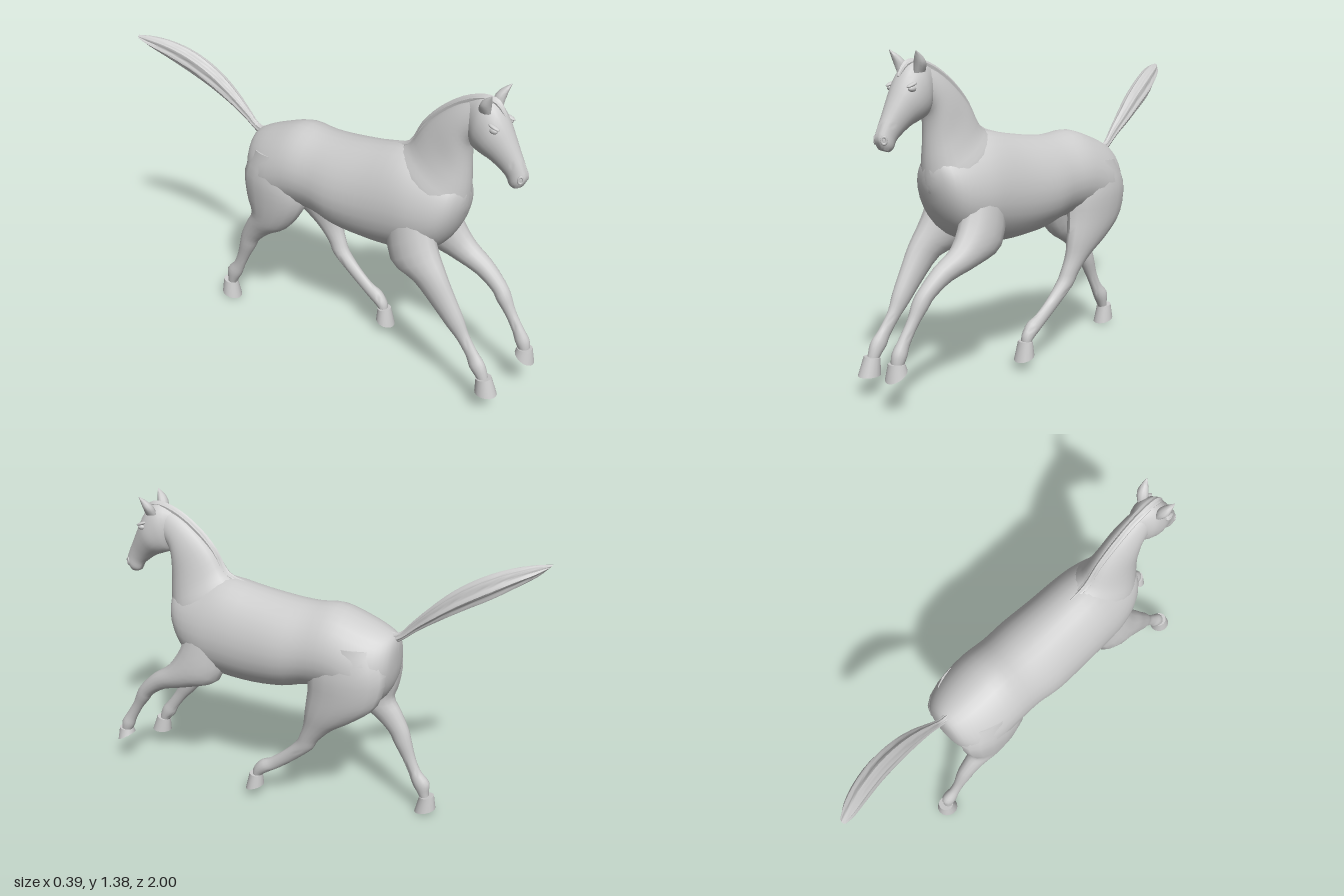
import * as THREE from 'three';
import { toCreasedNormals } from 'three/addons/utils/BufferGeometryUtils.js';

const material = new THREE.MeshStandardMaterial({ color: 0xcccccc });

// Catmull-Rom blend of section rows
function refine(rows, steps) {
  const at = i => rows[Math.max(0, Math.min(rows.length - 1, i))];
  const out = [];
  for (let i = 0; i < rows.length - 1; i++) {
    for (let s = 0; s < steps; s++) {
      const t = s / steps, a = at(i - 1), b = at(i), c = at(i + 1), d = at(i + 2);
      out.push(b.map((_, k) => b[k] + 0.5 * t * (c[k] - a[k]
        + t * (2 * a[k] - 5 * b[k] + 4 * c[k] - d[k] + t * (3 * (b[k] - c[k]) + d[k] - a[k])))));
    }
  }
  out.push(at(rows.length - 1));
  return out;
}

// Closed loft; each row is [x, z1, y1, z2, y2, halfWidth]: two outline edges seen
// from the side and a half width across. egg widens the second edge, groove cuts ridges.
function loft(name, rows, { sides = 20, steps = 3, egg = 0, groove = 0, ridges = 7, crease = 0.8 } = {}) {
  const rings = refine(rows, steps), pos = [], idx = [];
  for (const [x, z1, y1, z2, y2, w] of rings) {
    for (let j = 0; j < sides; j++) {
      const t = j / sides * Math.PI * 2;
      const g = 1 - groove * (0.5 - 0.5 * Math.cos(t * ridges));
      const c = Math.cos(t) * 0.5 * g, s = Math.sin(t) * g * (1 - egg * Math.cos(t));
      pos.push(x + s * w, (y1 + y2) / 2 + c * (y1 - y2), (z1 + z2) / 2 + c * (z1 - z2));
    }
  }
  const last = rings.length - 1, n = rings.length * sides;
  for (const r of [rings[0], rings[last]]) pos.push(r[0], (r[2] + r[4]) / 2, (r[1] + r[3]) / 2);
  for (let j = 0; j < sides; j++) {
    const k = (j + 1) % sides;
    for (let i = 0; i < last; i++) {
      const a = i * sides + j, b = i * sides + k;
      idx.push(a, b, a + sides, b, b + sides, a + sides);
    }
    idx.push(n, k, j, n + 1, last * sides + j, last * sides + k);
  }
  // Signed volume tells whether the faces point outward
  const v = i => new THREE.Vector3().fromArray(pos, i * 3);
  let volume = 0;
  for (let i = 0; i < idx.length; i += 3) volume += v(idx[i]).dot(v(idx[i + 1]).cross(v(idx[i + 2])));
  if (volume < 0) idx.reverse();
  const geo = new THREE.BufferGeometry();
  geo.setAttribute('position', new THREE.Float32BufferAttribute(pos, 3));
  geo.setIndex(idx);
  const mesh = new THREE.Mesh(toCreasedNormals(geo, crease), material);
  mesh.name = name;
  return mesh;
}

function leg(name, limb, hoof) {
  const g = new THREE.Group();
  g.name = name;
  g.add(loft('limb', limb, { sides: 16 }), loft('hoof', hoof, { sides: 16, steps: 1 }));
  return g;
}

function ball(name, x, y, z, sx, sy, sz) {
  const m = new THREE.Mesh(new THREE.SphereGeometry(1, 14, 10), material);
  m.name = name;
  m.position.set(x, y, z);
  m.scale.set(sx, sy, sz);
  return m;
}

export function createModel() {
  const horse = new THREE.Group();
  horse.name = 'horse';

  // Trunk from chest to rump
  horse.add(loft('torso', [
    [0, .69, .92, .685, .84, .03], [0, .665, .97, .65, .74, .1], [0, .6, 1.0, .59, .65, .145],
    [0, .5, 1.03, .5, .6, .172], [0, .4, 1.05, .4, .578, .18], [0, .25, 1.025, .25, .572, .186],
    [0, .1, 1.005, .1, .588, .192], [0, -.02, 1.0, -.02, .62, .184], [0, -.14, 1.01, -.14, .62, .188],
    [0, -.26, .975, -.27, .58, .185], [0, -.35, .94, -.35, .6, .155], [0, -.4, .91, -.4, .68, .1],
    [0, -.415, .87, -.415, .76, .03],
  ], { sides: 28, egg: .1 }));

  // Neck, crest edge first
  horse.add(loft('neck', [
    [0, .3, 1.0, .62, .72, .13], [0, .37, 1.04, .68, .82, .128], [0, .415, 1.075, .692, .92, .1],
    [0, .47, 1.16, .69, 1.0, .08], [0, .55, 1.24, .685, 1.08, .07], [0, .635, 1.3, .69, 1.14, .06],
    [0, .72, 1.335, .72, 1.18, .05],
  ], { sides: 24, egg: .15 }));

  // Head, forehead edge first
  const head = new THREE.Group();
  head.name = 'head';
  head.add(loft('skull', [
    [0, .67, 1.32, .655, 1.2, .03], [0, .74, 1.348, .685, 1.15, .062], [0, .79, 1.33, .7, 1.128, .072],
    [0, .832, 1.275, .738, 1.112, .074], [0, .867, 1.21, .78, 1.095, .06], [0, .9, 1.145, .82, 1.068, .044],
    [0, .925, 1.095, .85, 1.042, .036], [0, .938, 1.055, .866, 1.012, .035], [0, .922, 1.018, .885, 1.003, .024],
  ], { sides: 24 }));
  for (const s of [-1, 1]) {
    head.add(loft('ear', [
      [s * .05, .785, 1.3, .735, 1.305, .018], [s * .06, .79, 1.335, .742, 1.335, .025],
      [s * .069, .797, 1.363, .762, 1.362, .016], [s * .079, .802, 1.386, .798, 1.386, .002],
    ], { sides: 10 }));
    head.add(ball('eye', s * .063, 1.242, .81, .012, .012, .018));
    const brow = ball('brow', s * .062, 1.257, .81, .012, .007, .026);
    brow.rotation.x = .35;
    head.add(brow);
    const nostril = new THREE.Mesh(new THREE.TorusGeometry(.01, .004, 8, 14), material);
    nostril.name = 'nostril';
    nostril.position.set(s * .027, 1.052, .922);
    nostril.rotation.y = s * .9;
    nostril.scale.y = 1.4;
    head.add(nostril);
  }
  horse.add(head);

  // Mane along the crest, ending in a forelock
  horse.add(loft('mane', [
    [0, .3, 1.035, .35, 1.0, .008], [0, .4, 1.07, .44, 1.04, .02], [0, .458, 1.168, .5, 1.135, .02],
    [0, .535, 1.252, .57, 1.21, .022], [0, .635, 1.322, .65, 1.27, .022], [0, .73, 1.354, .72, 1.31, .024],
    [0, .795, 1.343, .77, 1.31, .022], [0, .83, 1.29, .81, 1.28, .008],
  ], { groove: .25, ridges: 6, sides: 24 }));

  // Raised, ridged tail swinging to the right
  horse.add(loft('tail', [
    [0, -.38, .925, -.39, .87, .02], [0, -.42, .93, -.432, .895, .016], [-.004, -.47, .985, -.5, .95, .022],
    [-.01, -.54, 1.058, -.58, 1.003, .034], [-.025, -.63, 1.14, -.68, 1.063, .043],
    [-.05, -.74, 1.21, -.79, 1.123, .047], [-.085, -.85, 1.253, -.88, 1.178, .044],
    [-.12, -.94, 1.27, -.95, 1.223, .034], [-.145, -1.0, 1.272, -.985, 1.255, .014],
  ], { groove: .22, sides: 42 }));

  // Legs, front edge first
  horse.add(leg('leftFrontLeg', [
    [.09, .55, .87, .36, .75, .075], [.11, .6, .72, .41, .58, .077], [.125, .665, .615, .55, .525, .058],
    [.121, .755, .55, .69, .483, .043], [.115, .83, .477, .775, .43, .034], [.11, .863, .43, .805, .392, .033],
    [.108, .892, .365, .85, .335, .023], [.106, .937, .295, .892, .265, .022], [.106, .967, .25, .908, .225, .028],
    [.106, .975, .215, .928, .19, .025], [.106, .975, .18, .935, .18, .02],
  ], [[.106, .988, .207, .92, .2, .032], [.106, 1, .135, .914, .182, .045]]));
  horse.add(leg('rightFrontLeg', [
    [-.09, .55, .87, .36, .75, .075], [-.115, .61, .7, .41, .57, .077], [-.13, .675, .585, .53, .52, .056],
    [-.13, .72, .5, .63, .425, .043], [-.127, .77, .405, .7, .35, .034], [-.125, .8, .335, .75, .3, .024],
    [-.127, .85, .265, .8, .235, .022], [-.13, .885, .225, .82, .195, .028], [-.13, .902, .18, .85, .163, .025],
    [-.13, .91, .14, .87, .13, .02],
  ], [[-.13, .922, .168, .855, .155, .033], [-.13, .952, .09, .855, .09, .044]]));
  horse.add(leg('leftHindLeg', [
    [.08, -.1, .88, -.35, .87, .085], [.103, -.045, .74, -.4, .76, .09], [.115, -.04, .63, -.37, .62, .075],
    [.118, -.028, .53, -.275, .53, .06], [.115, -.02, .455, -.165, .455, .045], [.11, 0, .395, -.09, .38, .036],
    [.105, .025, .345, -.055, .322, .034], [.102, .09, .28, .045, .235, .025], [.1, .16, .225, .12, .178, .023],
    [.1, .21, .2, .165, .15, .03], [.1, .247, .15, .205, .12, .026], [.1, .25, .1, .22, .09, .02],
  ], [[.1, .266, .125, .205, .12, .034], [.1, .287, .038, .2, .066, .046]]));
  horse.add(leg('rightHindLeg', [
    [-.08, -.1, .88, -.35, .87, .085], [-.103, -.05, .74, -.4, .76, .09], [-.115, -.075, .63, -.385, .63, .075],
    [-.118, -.17, .51, -.362, .55, .058], [-.115, -.27, .447, -.395, .49, .044], [-.11, -.343, .385, -.437, .41, .036],
    [-.107, -.375, .33, -.457, .345, .033], [-.105, -.42, .255, -.477, .275, .024], [-.102, -.453, .19, -.507, .21, .023],
    [-.1, -.475, .14, -.552, .16, .03], [-.1, -.5, .1, -.553, .11, .026], [-.1, -.52, .06, -.555, .07, .02],
  ], [[-.1, -.51, .083, -.578, .095, .034], [-.1, -.49, .001, -.588, .028, .046]]));

  return horse;
}
